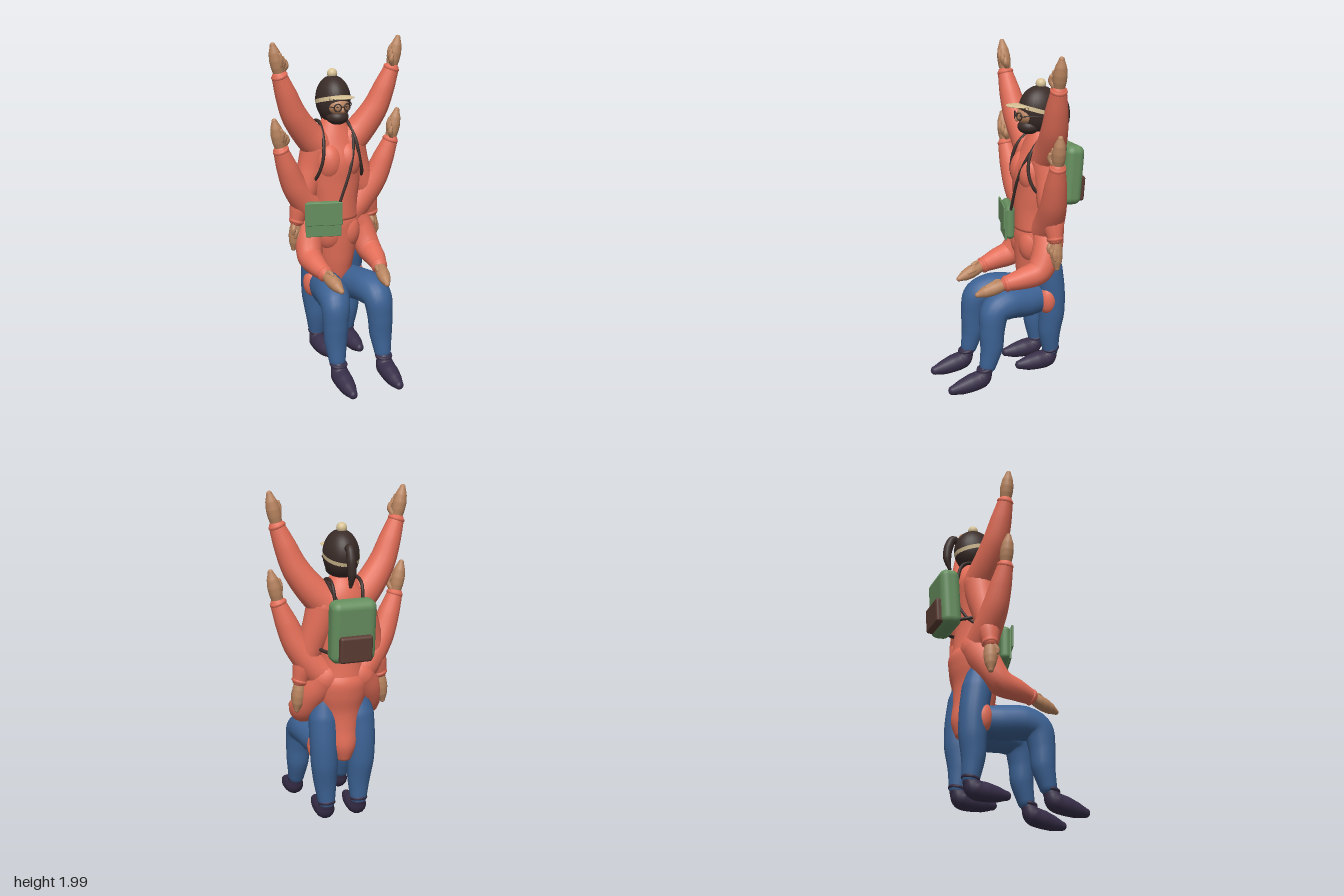
import * as THREE from 'three';
import { RoundedBoxGeometry } from 'three/addons/geometries/RoundedBoxGeometry.js';

const V = (x, y, z) => new THREE.Vector3(x, y, z);
const mat = (color) => new THREE.MeshStandardMaterial({ color, side: THREE.DoubleSide });
const M = {
  coat: mat(0xe36e58), denim: mat(0x3c6294), green: mat(0x668f5f), dark: mat(0x3a2c28), skin: mat(0xb98560),
  shoe: mat(0x372e48), beige: mat(0xd9c396), brown: mat(0x5c3d34),
};

// Closed smooth skin over elliptical rings { c: centre, u, v: half axes }
function skin(rings, seg) {
  const pos = [], idx = [];
  rings.forEach(({ c, u, v }, i) => {
    for (let j = 0; j < seg; j++) {
      const a = (j / seg) * Math.PI * 2;
      const p = c.clone().addScaledVector(u, Math.cos(a)).addScaledVector(v, Math.sin(a));
      pos.push(p.x, p.y, p.z);
      if (i === 0) continue;
      const k = (j + 1) % seg, lo = (i - 1) * seg, hi = i * seg;
      idx.push(lo + j, lo + k, hi + k, lo + j, hi + k, hi + j);
    }
  });
  const g = new THREE.BufferGeometry();
  g.setAttribute('position', new THREE.Float32BufferAttribute(pos, 3));
  g.setIndex(idx);
  g.computeVertexNormals();
  return g;
}

// Round-ended tube through points; radii is one number or one per point
function limb(points, radii, seg = 16) {
  const curve = new THREE.CatmullRomCurve3(points);
  const r = points.map((_, i) => radii[i] ?? radii);
  const n = points.length * 6, f = curve.computeFrenetFrames(n, false), rings = [];
  const ring = (i, radius, push) => rings.push({
    c: curve.getPointAt(i / n).addScaledVector(f.tangents[i], push),
    u: f.normals[i].clone().multiplyScalar(radius), v: f.binormals[i].clone().multiplyScalar(radius),
  });
  const cap = (i, radius, a) => ring(i, Math.max(radius * Math.cos(a), 1e-4), radius * Math.sin(a));
  for (let k = 5; k > 0; k--) cap(0, r[0], (-k / 5) * Math.PI / 2);
  for (let i = 0; i <= n; i++) {
    const t = curve.getUtoTmapping(i / n) * (r.length - 1);
    const k = Math.min(Math.floor(t), r.length - 2);
    ring(i, THREE.MathUtils.lerp(r[k], r[k + 1], t - k), 0);
  }
  for (let k = 1; k <= 5; k++) cap(n, r[r.length - 1], (k / 5) * Math.PI / 2);
  return skin(rings, seg);
}

// Upright body from [y, half width, front z, back z], listed bottom to top
function body(rows) {
  const mid = new THREE.CatmullRomCurve3(rows.map(([y, w, f, b]) => V(w, y, (f + b) / 2)));
  const dep = new THREE.CatmullRomCurve3(rows.map(([y, , f, b]) => V((f - b) / 2, y, 0)));
  const rings = [];
  for (let i = 0; i <= 48; i++) {
    const m = mid.getPoint(i / 48), d = dep.getPoint(i / 48).x;
    const k = i === 0 || i === 48 ? 0.01 : 1;
    rings.push({ c: V(0, m.y, m.z), u: V(0, 0, d * k), v: V(m.x * k, 0, 0) });
  }
  return skin(rings, 32);
}

export function createModel() {
  const root = new THREE.Group();
  root.name = 'manyLimbedTraveller';
  const add = (name, geo, m, parent = root) => {
    const mesh = new THREE.Mesh(geo, m);
    mesh.name = name;
    parent.add(mesh);
    return mesh;
  };
  const group = (name) => {
    const g = new THREE.Group();
    g.name = name;
    root.add(g);
    return g;
  };
  const ball = (name, m, p, r) => {
    const b = add(name, new THREE.SphereGeometry(1, 28, 20), m);
    b.position.copy(p);
    b.scale.copy(r);
    return b;
  };

  // Stacked coat bodies
  add('upperCoat', body([[0.92, 0.15, -0.045, -0.315], [1.04, 0.14, -0.045, -0.3], [1.16, 0.155, -0.045, -0.29],
    [1.29, 0.16, -0.045, -0.3], [1.39, 0.15, -0.085, -0.31], [1.47, 0.1, -0.115, -0.29], [1.53, 0.06, -0.14, -0.25]]), M.coat);
  add('lowerCoat', body([[0.43, 0.04, -0.18, -0.28], [0.53, 0.09, -0.09, -0.31], [0.64, 0.11, -0.06, -0.3],
    [0.74, 0.13, -0.05, -0.3], [0.84, 0.155, -0.045, -0.32], [0.92, 0.158, -0.045, -0.325], [0.98, 0.13, -0.06, -0.3]]), M.coat);

  for (const [side, s] of [['left', 1], ['right', -1]]) {
    const P = (x, y, z) => V(x * s, y, z);

    // Arm: sleeve to the wrist, cuff roll, hand towards the tip, digits leaning out of the palm
    const arm = (name, sleeve, tip, out) => {
      const g = group(`${side}_${name}`);
      const [elbow, wrist] = sleeve.slice(-2);
      const reach = tip.clone().sub(wrist);
      const along = (t, o = 0) => wrist.clone().addScaledVector(reach, t).addScaledVector(out, o);
      add('sleeve', limb(sleeve, [0.1, 0.088, 0.077, 0.063, 0.046]), M.coat, g);
      const cuff = add('cuff', new THREE.TorusGeometry(0.034, 0.015, 10, 20), M.coat, g);
      cuff.position.copy(along(0.04));
      cuff.quaternion.setFromUnitVectors(V(0, 0, 1), wrist.clone().sub(elbow).normalize());
      add('hand', limb([along(0.05), along(0.3), along(0.5), along(0.72), along(0.92)], [0.03, 0.038, 0.039, 0.032, 0.016]), M.skin, g);
      const spread = out.clone().cross(reach).setLength(0.016);
      for (let i = 0; i < 3; i++) {
        const digit = [along(0.15 + i * 0.1, 0.5), along(0.28 + i * 0.11, 1 - i * 0.15), along(0.4 + i * 0.12, 1 - i * 0.15)];
        digit.forEach((p) => p.addScaledVector(spread, i - 1));
        add(i ? 'finger' : 'thumb', limb(digit, [0.015, 0.015, 0.011], 10), M.skin, g);
      }
    };
    for (const [name, drop] of [['raisedUpperArm', 0], ['raisedLowerArm', 0.43]]) {
      const R = (x, y, z) => P(x, y - drop, z);
      arm(name, [R(0.09, 1.37, -0.19), R(0.17, 1.45, -0.18), R(0.255, 1.57, -0.16), R(0.31, 1.7, -0.145), R(0.348, 1.8, -0.135)],
        R(0.392, 2, -0.13), P(-0.038, 0.01, 0.025));
    }
    arm('hangingArm', [P(0.1, 1.36, -0.19), P(0.135, 1.25, -0.19), P(0.18, 1.12, -0.18), P(0.22, 1, -0.18), P(0.24, 0.935, -0.18)],
      P(0.265, 0.74, -0.185), P(0.01, 0, 0.035));
    arm('reachingArm', [P(0.1, 0.94, -0.2), P(0.16, 0.84, -0.17), P(0.192, 0.725, -0.1), P(0.19, 0.695, 0), P(0.175, 0.675, 0.09)],
      P(0.142, 0.615, 0.28), P(-0.015, 0.03, 0));

    // Leg: trousers, then a tapering shoe below the ankle, pitch lowers the toe
    const leg = (name, path, radii, ankle, pitch) => {
      const g = group(`${side}_${name}`);
      add('trouserLeg', limb(path, radii, 20), M.denim, g);
      const step = (dz, dy) => ankle.clone().add(V(0, dy - dz * pitch, dz));
      add('shoe', limb([step(0, 0.005), step(0.025, -0.035), step(0.09, -0.043), step(0.155, -0.047), step(0.208, -0.047)],
        [0.044, 0.056, 0.054, 0.044, 0.027]), M.shoe, g);
      const collar = add('shoeCollar', new THREE.TorusGeometry(0.041, 0.012, 10, 20), M.shoe, g);
      collar.position.copy(step(0, 0.02));
      collar.rotation.x = Math.PI / 2 + 0.2;
    };
    leg('frontLeg', [P(0.075, 0.52, -0.18), P(0.1, 0.52, -0.06), P(0.122, 0.53, 0.07), P(0.135, 0.5, 0.15), P(0.143, 0.39, 0.175),
      P(0.146, 0.28, 0.18), P(0.148, 0.17, 0.205)], [0.09, 0.1, 0.099, 0.088, 0.075, 0.068, 0.05], P(0.147, 0.13, 0.222), 0.17);
    leg('backLeg', [P(0.1, 0.83, -0.19), P(0.11, 0.7, -0.205), P(0.115, 0.55, -0.225), P(0.112, 0.42, -0.228), P(0.105, 0.3, -0.22),
      P(0.1, 0.18, -0.23)], [0.058, 0.086, 0.082, 0.079, 0.068, 0.05], P(0.1, 0.155, -0.232), 0.02);

    // Coat fullness at chest, belly and hips, sunk so only soft swells show
    ball(`${side}_chest`, M.coat, P(0.055, 1.28, -0.13), V(0.085, 0.12, 0.092));
    ball(`${side}_lowerChest`, M.coat, P(0.055, 0.85, -0.13), V(0.085, 0.12, 0.088));
    ball(`${side}_hip`, M.coat, P(0.14, 0.52, -0.185), V(0.06, 0.092, 0.056));

    // Backpack strap over the shoulder and under the arm
    add(`${side}_backpackStrap`, limb([P(0.08, 1.36, -0.33), P(0.085, 1.49, -0.29), P(0.085, 1.51, -0.2), P(0.1, 1.42, -0.095),
      P(0.118, 1.3, -0.068), P(0.145, 1.2, -0.1), P(0.152, 1.13, -0.22), P(0.1, 1.11, -0.33)], 0.01, 10), M.dark);

    // Glasses and eye
    const rim = add(`${side}_glassesRim`, new THREE.TorusGeometry(0.021, 0.004, 8, 24), M.dark);
    rim.position.copy(P(0.029, 1.615, -0.05));
    rim.rotation.y = s * 0.3;
    ball(`${side}_eye`, M.dark, P(0.028, 1.617, -0.058), V(0.006, 0.005, 0.004));
    add(`${side}_glassesArm`, limb([P(0.049, 1.617, -0.056), P(0.078, 1.62, -0.1), P(0.098, 1.62, -0.17)], 0.003, 6), M.dark);
  }
  add('glassesBridge', limb([V(-0.009, 1.617, -0.045), V(0, 1.62, -0.043), V(0.009, 1.617, -0.045)], 0.003, 6), M.dark);

  // Head, hair, beard and face
  ball('neck', M.skin, V(0, 1.52, -0.19), V(0.055, 0.07, 0.06));
  ball('hair', M.dark, V(0, 1.64, -0.19), V(0.1, 0.14, 0.125));
  ball('face', M.skin, V(0, 1.615, -0.12), V(0.068, 0.058, 0.068));
  ball('beard', M.dark, V(0, 1.548, -0.125), V(0.066, 0.046, 0.066));
  ball('nose', M.skin, V(0, 1.597, -0.052), V(0.012, 0.017, 0.016));
  add('ponytail', limb([V(0, 1.68, -0.29), V(0, 1.7, -0.325), V(0, 1.64, -0.355), V(0, 1.56, -0.362), V(0, 1.49, -0.345)],
    [0.02, 0.024, 0.028, 0.024, 0.01]), M.dark);

  // Visor, band and pompom
  ball('visor', M.beige, V(0, 1.672, -0.055), V(0.071, 0.008, 0.07)).rotation.x = -0.05;
  const band = add('headBand', new THREE.CylinderGeometry(0.102, 0.1, 0.024, 36, 1, true), M.beige);
  band.position.set(0, 1.637, -0.19);
  band.scale.z = 1.25;
  band.rotation.x = -0.28;
  ball('pompom', M.beige, V(0, 1.79, -0.2), V(0.03, 0.03, 0.03));

  // Backpack
  const pack = group('backpack');
  pack.position.set(0, 1.25, -0.37);
  pack.rotation.x = -0.07;
  add('packBody', new RoundedBoxGeometry(0.26, 0.355, 0.12, 6, 0.045), M.green, pack);
  add('packPocket', new RoundedBoxGeometry(0.19, 0.15, 0.05, 4, 0.015), M.brown, pack).position.set(0, -0.085, -0.064);

  // Shoulder bag with layered flap and long strap
  const bag = group('shoulderBag');
  bag.position.set(-0.125, 0.965, -0.05);
  bag.rotation.y = -0.28;
  add('bagBody', new RoundedBoxGeometry(0.21, 0.205, 0.056, 4, 0.026), M.green, bag);
  add('bagFront', new RoundedBoxGeometry(0.21, 0.19, 0.012, 3, 0.005), M.green, bag).position.set(0, -0.01, 0.027);
  add('bagFlap', new RoundedBoxGeometry(0.222, 0.14, 0.012, 3, 0.005), M.green, bag).position.set(0, 0.036, 0.037);
  add('bagStrap', limb([V(-0.03, 1.05, -0.025), V(0.05, 1.27, -0.038), V(0.09, 1.42, -0.1), V(0.095, 1.5, -0.2),
    V(0.07, 1.42, -0.3), V(-0.03, 1.25, -0.3), V(-0.13, 1.1, -0.24), V(-0.2, 1.05, -0.09)], 0.009, 8), M.dark);
  return root;
}
